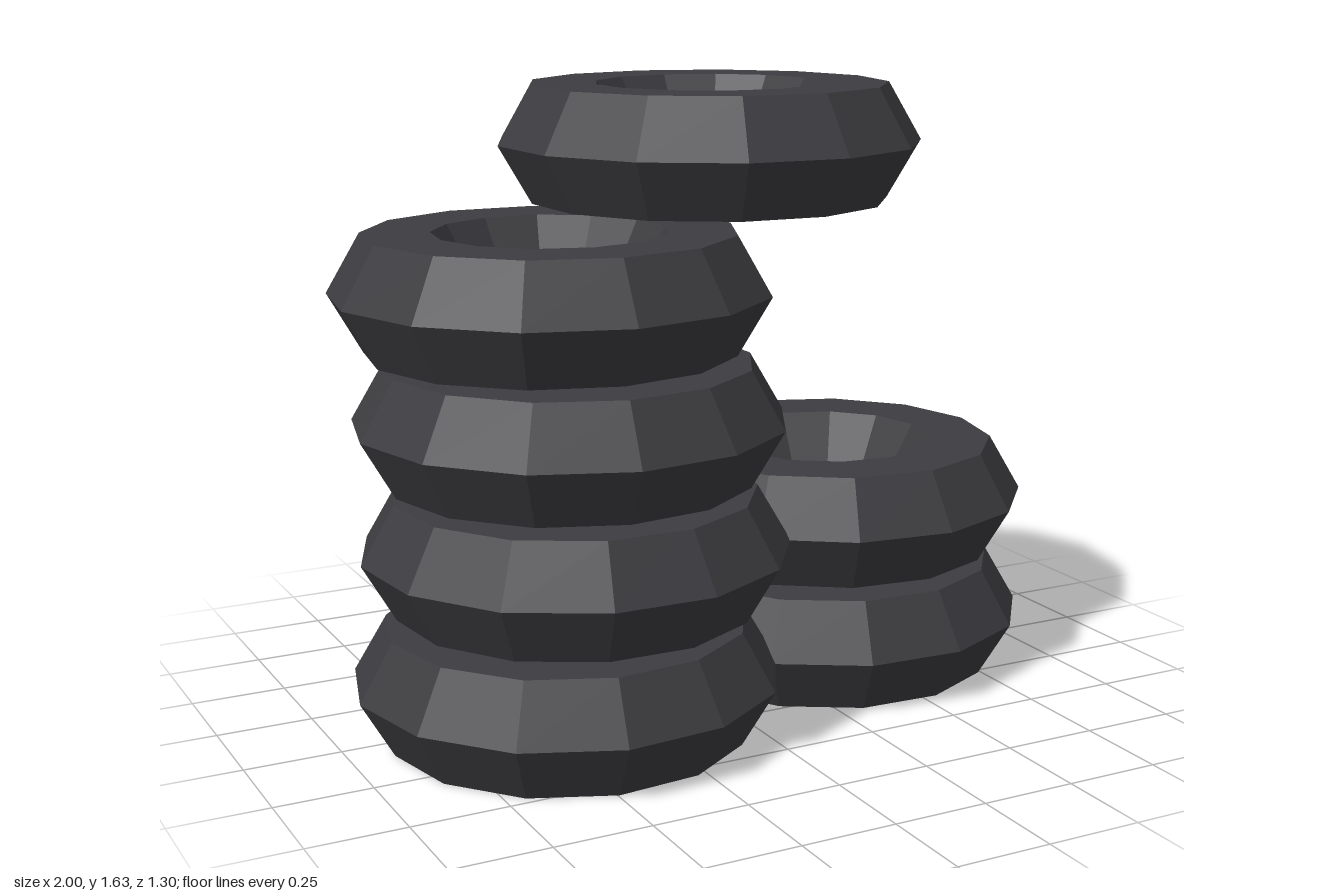
import * as THREE from 'three';

export function createModel() {
  const group = new THREE.Group();
  const rubber = new THREE.MeshStandardMaterial({ color: 0x3d3c40, flatShading: true });
  rubber.name = 'darkRubber';

  // Low-poly tyre lying flat, with a hexagonal cross-section
  const tyre = new THREE.TorusGeometry(0.379, 0.171, 6, 13);
  tyre.rotateX(-Math.PI / 2);

  // name, x, y, z, turn in degrees
  const tyres = [
    ['leftStackTyreLower', 0.452, 0.148, -0.097, 4],
    ['leftStackTyreUpper', 0.452, 0.481, -0.1, 0],
    ['rightStackTyreBottom', -0.425, 0.148, 0.102, 12],
    ['rightStackTyreSecond', -0.395, 0.481, 0.098, 6],
    ['rightStackTyreThird', -0.405, 0.812, 0.098, 14],
    ['rightStackTyreTop', -0.453, 1.143, 0.1, 18],
    ['topTyre', 0.035, 1.481, 0, 3],
  ];
  for (const [name, x, y, z, turn] of tyres) {
    const mesh = new THREE.Mesh(tyre, rubber);
    mesh.name = name;
    mesh.position.set(x, y, z);
    mesh.rotation.y = THREE.MathUtils.degToRad(turn);
    group.add(mesh);
  }
  return group;
}
